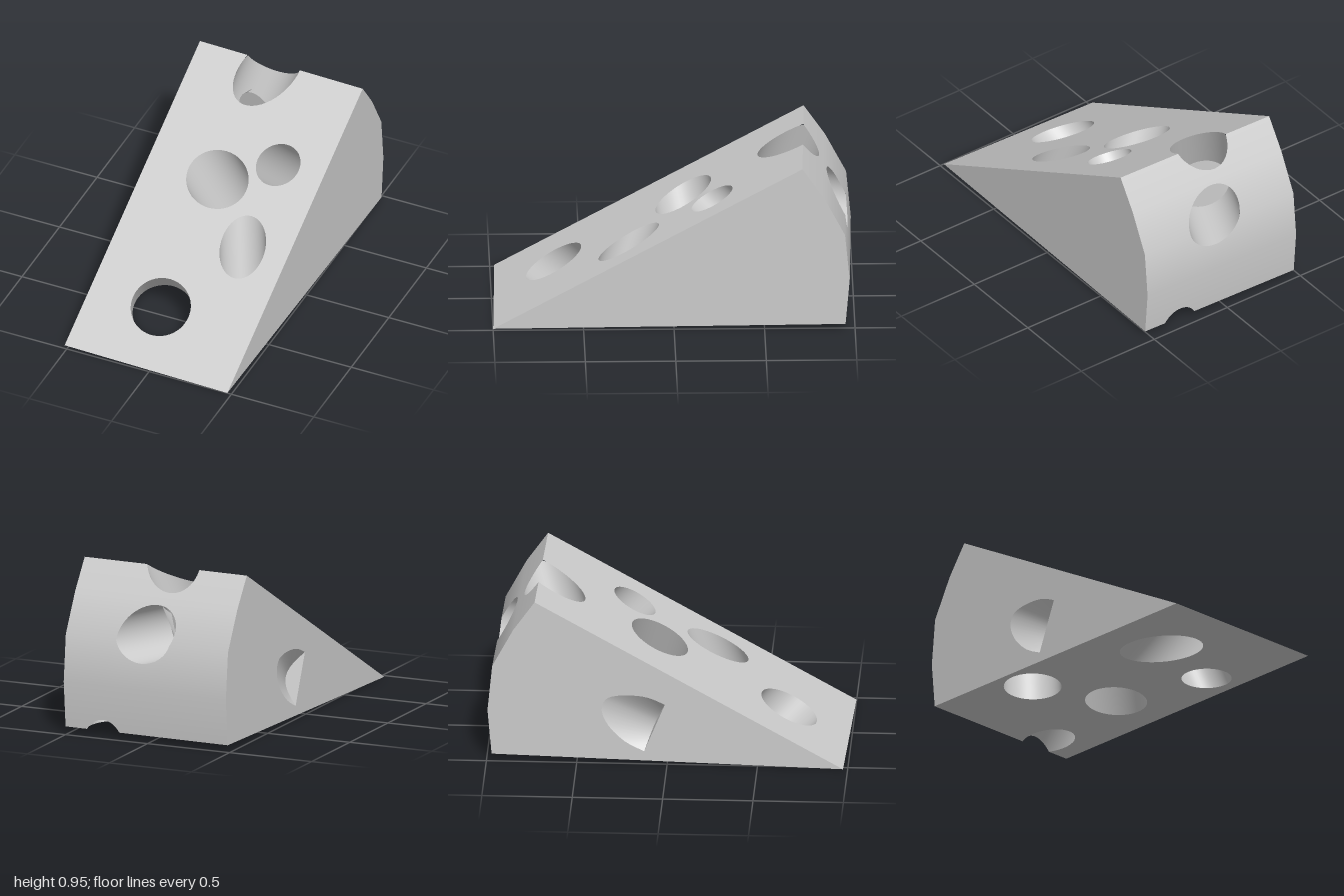
import * as THREE from 'three';

const V2 = (x, y) => new THREE.Vector2(x, y);
const V3 = (x, y, z) => new THREE.Vector3(x, y, z);
const HALF = 0.5, SIDES = 48;

// Wedge profile as (z, y): tip, ridge, rounded rind, bottom back edge, tip
const profile = [[0.987, 0.002], [-0.722, 0.948], [-0.84, 0.78], [-0.957, 0.56],
  [-0.983, 0.295], [-0.96, 0.035], [0.987, 0.002]].map(p => V2(...p));

// Bands of the wrapped skin: s is the distance along the profile
let length = 0;
const bands = profile.slice(0, -1).map((a, k) => {
  const b = profile[k + 1], d = b.clone().sub(a), s0 = length;
  length += d.length();
  d.normalize();
  return { a, b, s0, s1: length, n: V2(d.y, -d.x) };
});

// Round tunnels: start, end, radius, optional blind depth
const tunnels = [
  { name: 'middleTunnel', from: V3(-0.07, 0.58, -0.06), to: V3(0.165, 0.02, -0.204), r: 0.17 },
  { name: 'slantedTunnel', from: V3(0.225, 0.67, -0.22), to: V3(0.265, 0.03, -0.857), r: 0.125 },
  { name: 'sideTunnel', from: V3(0.231, 0.415, 0.24), to: V3(0.31, 0.01, 0.372), r: 0.13 },
  { name: 'frontTunnel', from: V3(-0.07, 0.185, 0.657), to: V3(-0.14, 0.01, 0.484), r: 0.168 },
  { name: 'ridgeTunnel', from: V3(-0.057, 0.92, -0.674), to: V3(-0.3, 0.02, -0.383), r: 0.16 },
  { name: 'rindTunnel', from: V3(0.017, 0.6, -0.935), to: V3(-0.14, 0.6, -0.555), r: 0.157, depth: 0.32 },
];

// Where a line enters and leaves the wedge, with its skin coordinates (x, s)
function crossings(p, d) {
  let t0 = -Infinity, t1 = Infinity, k0, k1;
  bands.forEach((band, k) => {
    const slope = band.n.x * d.z + band.n.y * d.y;
    const t = -(band.n.x * (p.z - band.a.x) + band.n.y * (p.y - band.a.y)) / slope;
    if (slope < 0 && t > t0) { t0 = t; k0 = k; }
    if (slope > 0 && t < t1) { t1 = t; k1 = k; }
  });
  return [[t0, k0], [t1, k1]].map(([t, k]) => {
    const point = p.clone().addScaledVector(d, t);
    const s = bands[k].s0 + bands[k].a.distanceTo(V2(point.z, point.y));
    return { point, skin: V2(point.x, s) };
  });
}

// Surface between rows of points of equal length
function loft(rows) {
  const n = rows[0].length, index = [];
  for (let r = 0; r < rows.length - 1; r++)
    for (let i = 0; i < n - 1; i++) {
      const a = r * n + i, c = a + n;
      index.push(a, c, a + 1, a + 1, c, c + 1);
    }
  const geo = new THREE.BufferGeometry().setFromPoints(rows.flat());
  geo.setIndex(index);
  geo.computeVertexNormals();
  return geo;
}

// Tunnel wall seen from inside, plus its rims in skin coordinates
function makeTunnel({ from, to, r, depth }) {
  const d = to.clone().sub(from).normalize();
  const e1 = V3(1, 0, 0).addScaledVector(d, -d.x).normalize();
  const e2 = d.clone().cross(e1);
  const start = [], end = [], normals = [], rims = depth ? [[]] : [[], []];
  for (let i = 0; i <= SIDES; i++) {
    const a = i / SIDES * Math.PI * 2;
    const out = e1.clone().multiplyScalar(Math.cos(a)).addScaledVector(e2, Math.sin(a));
    const line = from.clone().addScaledVector(out, r);
    const hits = crossings(line, d);
    start.push(hits[0].point);
    end.push(depth ? line.addScaledVector(d, depth) : hits[1].point);
    normals.push(out.negate());
    if (i < SIDES) rims.forEach((rim, k) => rim.push(hits[k].skin));
  }
  const wall = loft([start, end]);
  wall.setAttribute('normal', new THREE.Float32BufferAttribute(
    [...normals, ...normals].flatMap(n => n.toArray()), 3));
  const centre = from.clone().addScaledVector(d, depth || 0);
  const cap = depth ? loft([end, end.map(() => centre)]) : null;
  return { wall, cap, rims };
}

// Flat shape with holes
function sheet(outline, holes) {
  const shape = new THREE.Shape(outline);
  shape.holes = holes.map(h => new THREE.Path(h));
  return new THREE.ShapeGeometry(shape);
}

// Keep the part of a polygon on one side of s = limit
function clip(poly, limit, sign) {
  const result = [];
  poly.forEach((p, i) => {
    const q = poly[(i + 1) % poly.length];
    const dp = (p.y - limit) * sign, dq = (q.y - limit) * sign;
    if (dp >= 0) result.push(p);
    if (dp * dq < 0) result.push(p.clone().lerp(q, dp / (dp - dq)));
  });
  return result;
}

// Unrolled skin with holes, cut at the creases and wrapped around the profile
function makeSkin(holes) {
  const flat = sheet([V2(-HALF, 0), V2(HALF, 0), V2(HALF, length), V2(-HALF, length)], holes);
  const pos = flat.attributes.position, idx = flat.index.array;
  const points = [], normals = [], last = bands.length - 1;
  const smooth = (k, j) => (k < 1 || k >= last || j < 1 || j >= last)
    ? bands[k].n : bands[k].n.clone().add(bands[j].n).normalize();
  for (let i = 0; i < idx.length; i += 3) {
    const tri = [0, 1, 2].map(j => V2(pos.getX(idx[i + j]), pos.getY(idx[i + j])));
    bands.forEach((band, k) => {
      const poly = clip(clip(tri, band.s0, 1), band.s1, -1);
      for (let j = 1; j < poly.length - 1; j++)
        for (const p of [poly[0], poly[j], poly[j + 1]]) {
          const f = (p.y - band.s0) / (band.s1 - band.s0);
          const zy = band.a.clone().lerp(band.b, f);
          const n = smooth(k, k - 1).clone().lerp(smooth(k, k + 1), f).normalize();
          points.push(V3(p.x, zy.y, zy.x));
          normals.push(0, n.y, n.x);
        }
    });
  }
  const geo = new THREE.BufferGeometry().setFromPoints(points);
  geo.setAttribute('normal', new THREE.Float32BufferAttribute(normals, 3));
  return geo;
}

export function createModel() {
  const group = new THREE.Group();
  const solid = new THREE.MeshStandardMaterial({ color: 0xcccccc });
  const thin = new THREE.MeshStandardMaterial({ color: 0xcccccc, side: THREE.DoubleSide });
  const add = (name, geo, material = solid) => {
    const mesh = new THREE.Mesh(geo, material);
    mesh.name = name;
    group.add(mesh);
    return mesh;
  };

  // Tunnels and the skin they pierce
  const holes = [];
  for (const t of tunnels) {
    const { wall, cap, rims } = makeTunnel(t);
    add(t.name, wall);
    if (cap) add(t.name + 'End', cap, thin);
    holes.push(...rims);
  }
  add('wedgeSkin', makeSkin(holes));

  // Flat sides; the right-hand one carries a shallow D-shaped pocket
  const rim = new THREE.SplineCurve([[0, 0.357], [-0.09, 0.395], [-0.18, 0.407], [-0.27, 0.402],
    [-0.33, 0.377], [-0.35, 0.31], [-0.31, 0.219], [-0.22, 0.13], [-0.115, 0.076]]
    .map(p => V2(...p))).getPoints(24);
  const outline = profile.slice(0, -1);
  const right = add('rightSide', sheet(outline, [rim]));
  right.rotation.y = -Math.PI / 2;
  right.position.x = -HALF;
  const left = add('leftSide', sheet(outline.map(p => V2(-p.x, p.y)), []));
  left.rotation.y = Math.PI / 2;
  left.position.x = HALF;

  // Pocket: curved floor, then a steep end wall up to the straight edge
  const edge = rim.map((p, i) => rim[0].clone().lerp(rim[24], i / 24));
  const onSide = (p, depth = 0) => V3(-HALF + depth, p.y, p.x);
  const deep = edge.map((p, i) => onSide(p, 0.09 * Math.sin(Math.PI * i / 24)));
  add('pocketFloor', loft([rim.map(p => onSide(p)), deep]), thin);
  add('pocketEnd', loft([deep, edge.map(p => onSide(p))]), thin);

  // Slight turn of the whole wedge
  group.rotation.y = -0.025;
  return group;
}
